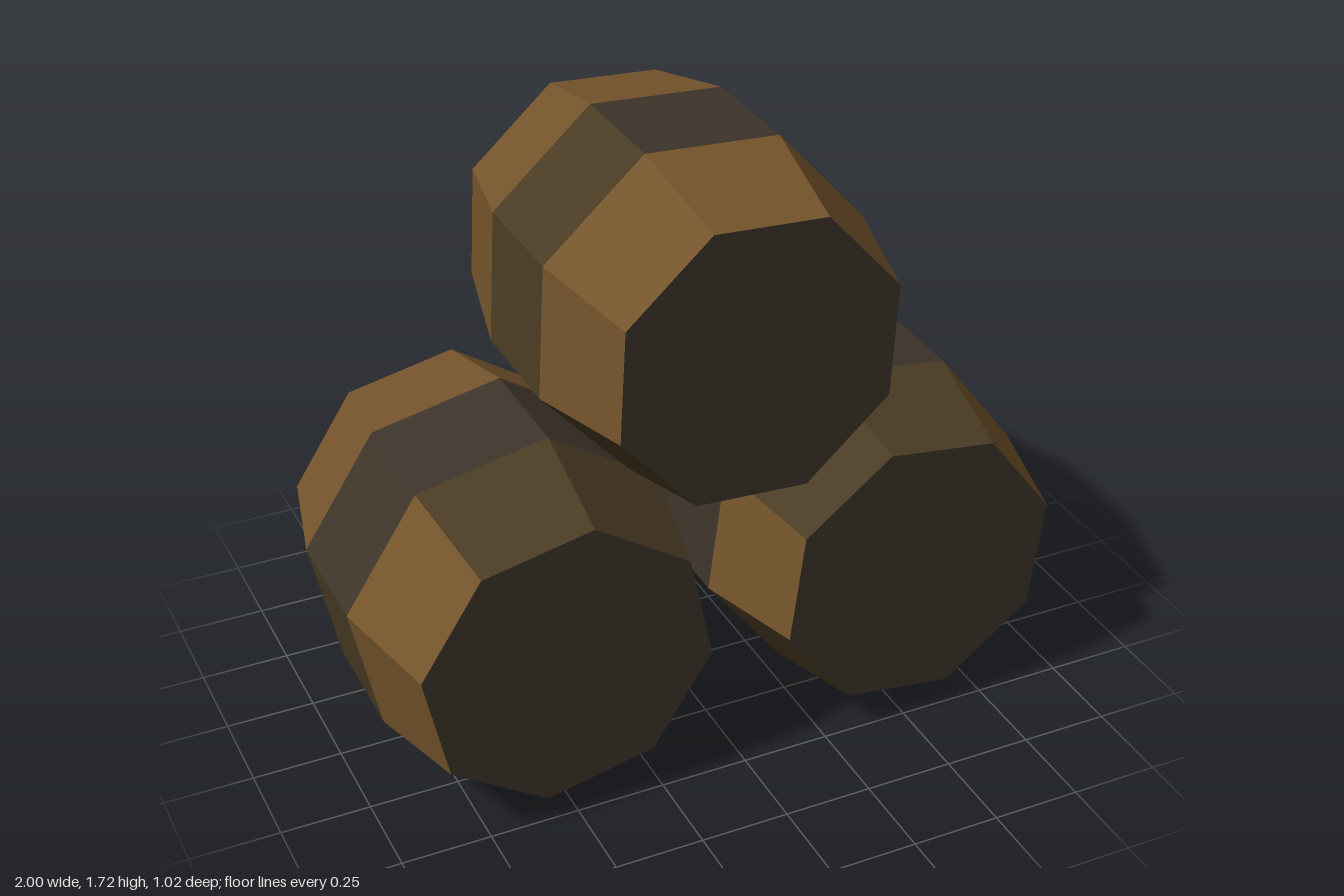
import * as THREE from 'three';

const wood = new THREE.MeshStandardMaterial({ color: 0x75542c, side: THREE.DoubleSide });
wood.name = 'brown wood';
const mossy = new THREE.MeshStandardMaterial({ color: 0x4a3c24, side: THREE.DoubleSide });
mossy.name = 'olive wood';
const dark = new THREE.MeshStandardMaterial({ color: 0x3d342a, side: THREE.DoubleSide });
dark.name = 'dark grey wood';
const materials = [wood, mossy, dark];

const SIDES = 8, OPEN_STAVE = 4;
// barrel profile from back to front: [z, radius]
const PROFILE = [[-0.51, 0.412], [-0.17, 0.4935], [0.17, 0.4935], [0.51, 0.412]];

// corner i of the octagon in a profile ring
function corner(ring, i) {
  const [z, r] = PROFILE[ring];
  const a = Math.PI / 2 + ((i - 0.5) / SIDES) * Math.PI * 2;
  return [r * Math.cos(a), r * Math.sin(a), z];
}

function flatGeometry(positions) {
  const g = new THREE.BufferGeometry();
  g.setAttribute('position', new THREE.Float32BufferAttribute(positions, 3));
  g.computeVertexNormals();
  return g;
}

// seven staves in three bands; stave 0 is on top, counting anticlockwise,
// and each band lists the material of its staves
function staves(bands) {
  const pos = [], used = [];
  for (let band = 0; band < 3; band++) {
    for (let i = 0; i < SIDES; i++) {
      if (i === OPEN_STAVE) continue;
      const a = corner(band, i), b = corner(band, i + 1);
      const c = corner(band + 1, i + 1), d = corner(band + 1, i);
      pos.push(...a, ...b, ...c, ...a, ...c, ...d);
      used.push(bands[band][i]);
    }
  }
  const g = flatGeometry(pos);
  used.forEach((m, n) => g.addGroup(n * 6, 6, m));
  return g;
}

// closed front end
function lid() {
  const pos = [];
  for (let i = 1; i < SIDES - 1; i++) pos.push(...corner(3, 0), ...corner(3, i), ...corner(3, i + 1));
  return flatGeometry(pos);
}

function barrel(name, x, y, degrees, bands) {
  const g = new THREE.Group();
  g.name = name;
  const body = new THREE.Mesh(staves(bands), materials);
  body.name = 'staves';
  const front = new THREE.Mesh(lid(), dark);
  front.name = 'lid';
  g.add(body, front);
  g.position.set(x, y, 0);
  g.rotation.z = THREE.MathUtils.degToRad(degrees);
  return g;
}

export function createModel() {
  const model = new THREE.Group();
  model.name = 'barrelStack';
  // bands run back, middle, front
  model.add(
    barrel('topBarrel', 0.02, 1.26, -3, [
      [0, 0, 0, 0, 0, 1, 0, 0],
      [2, 1, 1, 2, 0, 2, 1, 2],
      [0, 0, 0, 1, 0, 1, 0, 0],
    ]),
    barrel('rightBarrel', -0.515, 0.49, 12, [
      [0, 0, 0, 0, 0, 1, 0, 0],
      [2, 2, 1, 1, 0, 2, 2, 2],
      [1, 0, 0, 0, 0, 1, 1, 1],
    ]),
    barrel('leftBarrel', 0.52, 0.49, -7.3, [
      [0, 0, 0, 1, 0, 0, 0, 0],
      [2, 2, 2, 2, 0, 1, 1, 2],
      [1, 1, 0, 1, 0, 0, 0, 0],
    ]),
  );
  return model;
}
